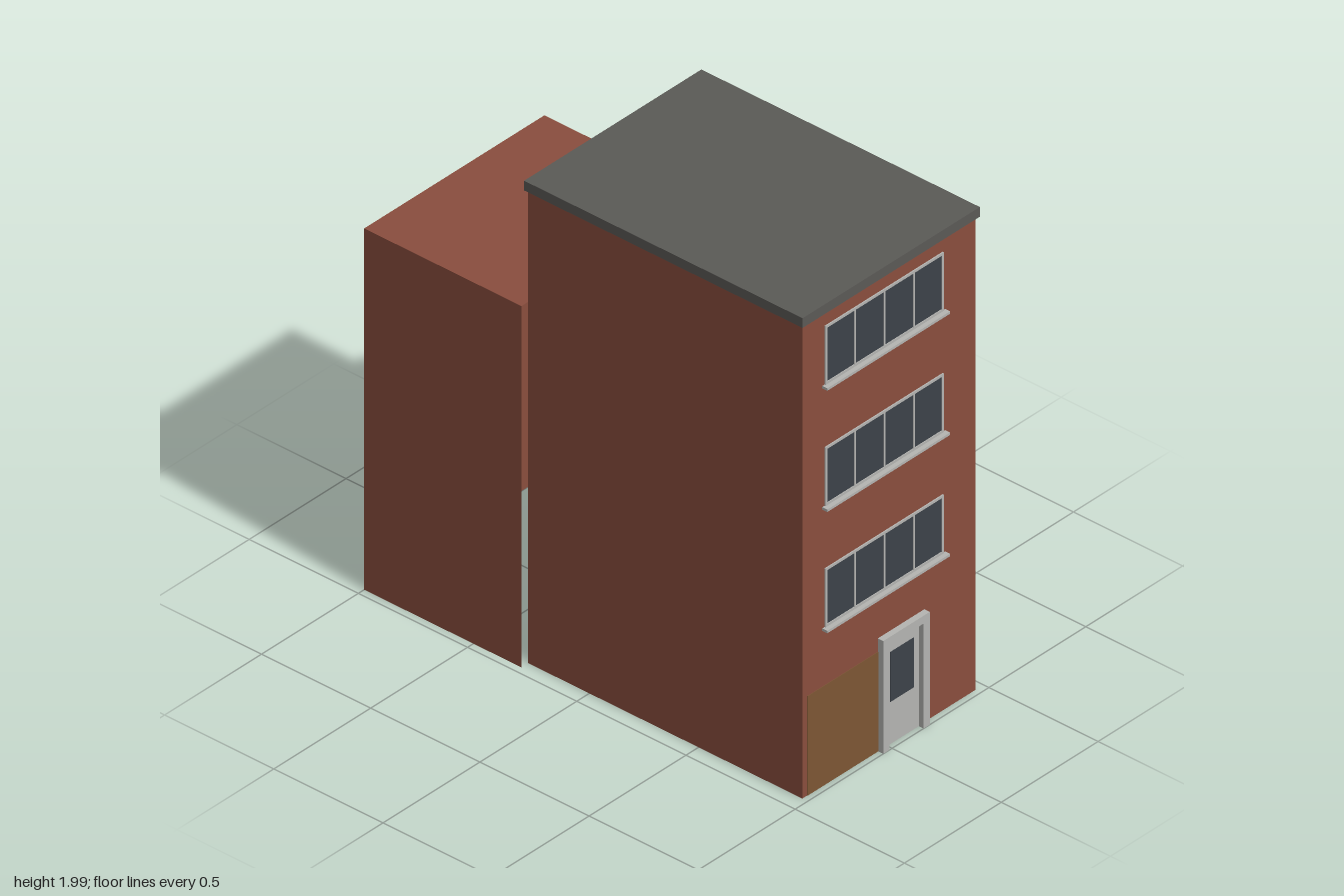
import * as THREE from 'three';

const paint = (color, side = THREE.FrontSide) =>
  new THREE.MeshStandardMaterial({ color, side, flatShading: true });

export function createModel() {
  const model = new THREE.Group();
  const brick = paint(0x8a4e3e, THREE.DoubleSide);
  const trim = paint(0xb5b5b2);
  const glass = paint(0x3c4249);
  const slate = paint(0x5b5a56);
  const timber = paint(0x7d5634);

  // Box given by its limits on each axis
  function block(parent, name, mat, [x0, x1], [y0, y1], [z0, z1]) {
    const mesh = new THREE.Mesh(new THREE.BoxGeometry(x1 - x0, y1 - y0, z1 - z0), mat);
    mesh.position.set((x0 + x1) / 2, (y0 + y1) / 2, (z0 + z1) / 2);
    mesh.name = name;
    parent.add(mesh);
    return mesh;
  }

  // Hollow block with some faces left out (0 +x, 1 -x, 2 +y, 3 -y, 4 +z, 5 -z)
  function shell(name, x, y, z, open) {
    const geo = block(model, name, brick, x, y, z).geometry;
    const kept = Array.from(geo.index.array).filter((_, i) => !open.includes(Math.floor(i / 6)));
    geo.setIndex(kept);
    geo.clearGroups();
  }

  // Flat frame with one opening; a door frame is open at the bottom
  function frame(parent, name, [x0, x1], [y0, y1], border, depth, isDoor = false) {
    const rect = (a, b, c, d) => [[a, c], [b, c], [b, d], [a, d]].map(p => new THREE.Vector2(...p));
    let shape;
    if (isDoor) {
      shape = new THREE.Shape([
        [x0, y0], [x0 + border, y0], [x0 + border, y1 - border], [x1 - border, y1 - border],
        [x1 - border, y0], [x1, y0], [x1, y1], [x0, y1],
      ].map(p => new THREE.Vector2(...p)));
    } else {
      shape = new THREE.Shape(rect(x0, x1, y0, y1));
      shape.holes.push(new THREE.Path(rect(x0 + border, x1 - border, y0 + border, y1 - border)));
    }
    const mesh = new THREE.Mesh(new THREE.ExtrudeGeometry(shape, { depth, bevelEnabled: false }), trim);
    mesh.name = name;
    parent.add(mesh);
  }

  // Window on a facade whose wall lies at local z = 0
  function addWindow(parent, [x0, x1], [y0, y1], panes) {
    const g = new THREE.Group();
    g.name = 'window';
    block(g, 'windowGlass', glass, [x0 + 0.005, x1 - 0.005], [y0 + 0.005, y1 - 0.005], [-0.002, 0.002]);
    frame(g, 'windowFrame', [x0, x1], [y0, y1], 0.01, 0.005);
    for (let i = 1; i < panes; i++) {
      const x = x0 + (x1 - x0) * i / panes;
      block(g, 'mullion', trim, [x - 0.004, x + 0.004], [y0 + 0.01, y1 - 0.01], [0, 0.005]);
    }
    block(g, 'windowSill', trim, [x0 - 0.012, x1 + 0.012], [y0 - 0.01, y0], [0, 0.023]);
    parent.add(g);
  }

  // Glazed door with its surround
  function addDoor(parent, [x0, x1], top, border, depth) {
    const g = new THREE.Group();
    g.name = 'door';
    const c = (x0 + x1) / 2;
    frame(g, 'doorSurround', [x0, x1], [0, top], border, depth, true);
    block(g, 'doorLeaf', trim, [x0 + border, x1 - border], [0, top - border], [-0.002, 0.003]);
    block(g, 'doorGlass', glass, [c - 0.06, c + 0.06], [0.175, 0.38], [0, 0.005]);
    parent.add(g);
  }

  // Walls: tall front building and lower rear extension, both without floors
  shell('mainWalls', [-0.435, 0.46], [0, 1.95], [-0.28, 0.975], [2, 3]);
  shell('rearExtension', [-0.47, 0.46], [0, 1.49], [-1, -0.28], [3, 4]);
  block(model, 'flatRoof', slate, [-0.445, 0.47], [1.95, 1.99], [-0.29, 0.985]);

  // Front facade
  const front = new THREE.Group();
  front.name = 'frontFacade';
  front.position.z = 0.975;
  for (let i = 0; i < 3; i++) addWindow(front, [-0.32, 0.29], [0.65 + i * 0.5, 0.892 + i * 0.5], 4);
  addDoor(front, [-0.045, 0.195], 0.465, 0.032, 0.025);
  block(front, 'timberPanel', timber, [-0.41, -0.045], [0, 0.41], [-0.002, 0.002]);
  model.add(front);

  // Back facade, turned round so its local +x is the model's -x
  const back = new THREE.Group();
  back.name = 'backFacade';
  back.position.z = -0.28;
  back.rotation.y = Math.PI;
  for (let i = 0; i < 3; i++) {
    const y = [0.65 + i * 0.5, 0.892 + i * 0.5];
    addWindow(back, [0.1, 0.345], y, 2);
    addWindow(back, [-0.33, -0.085], y, 2);
  }
  addWindow(back, [-0.065, 0.355], [0.12, 0.4], 2);
  addDoor(back, [-0.37, -0.16], 0.44, 0.015, 0.008);
  model.add(back);

  return model;
}
